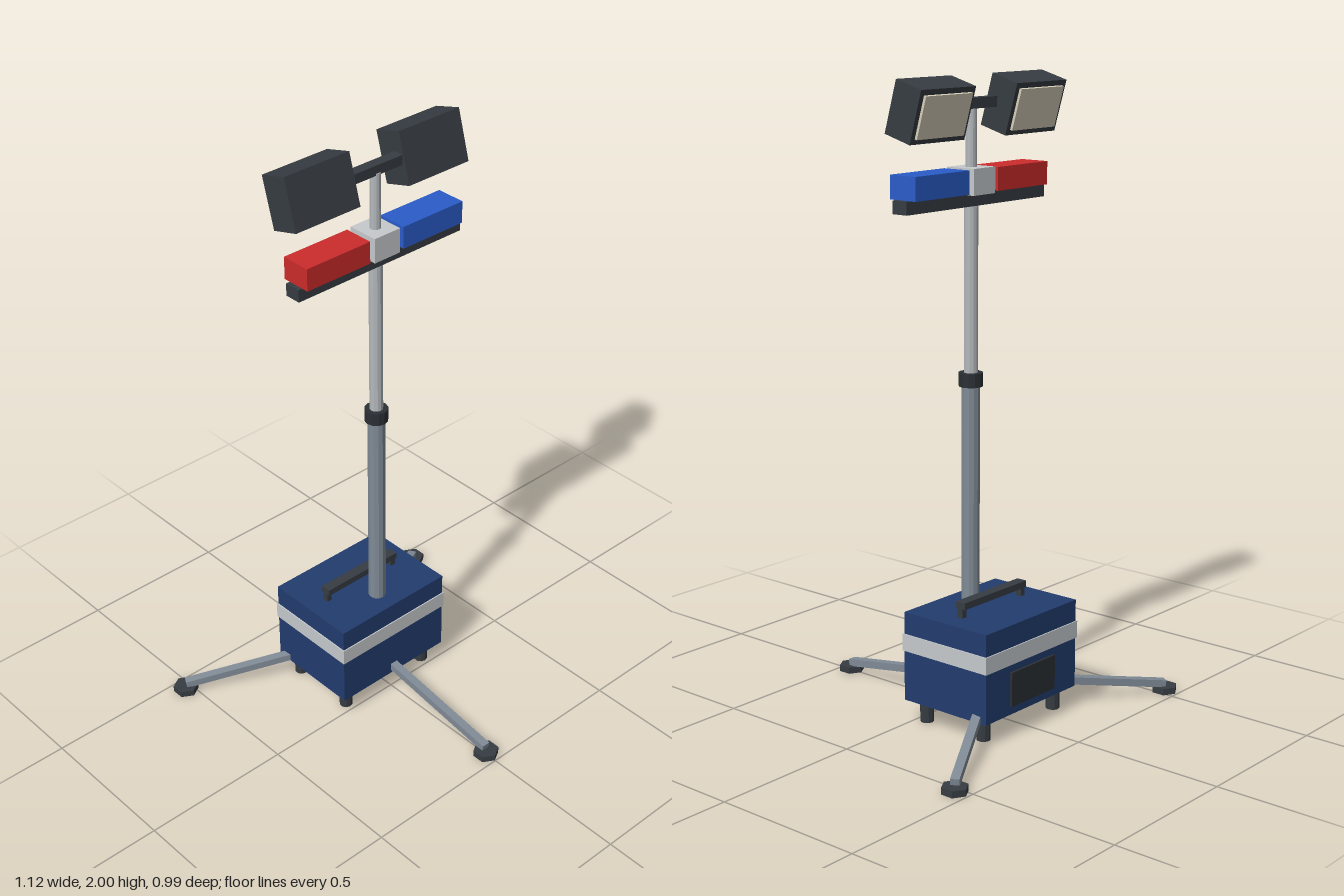
import * as THREE from 'three';

export function createModel() {
  const model = new THREE.Group();
  model.name = 'mobileLightTower';

  const mat = (name, color, flatShading = true) => {
    const m = new THREE.MeshStandardMaterial({ color, flatShading });
    m.name = name;
    return m;
  };
  const navy = mat('navy', 0x223c6e);
  const silver = mat('silver', 0xc6cacd);
  const steel = mat('steel', 0x808b96);
  const paleSteel = mat('pale steel', 0xb4b8bb);
  const charcoal = mat('charcoal', 0x363c42);
  const black = mat('black', 0x2b3035);
  const red = mat('red', 0xcc2b2b);
  const blue = mat('blue', 0x2a5cc8);
  const lens = mat('cream lens', 0xd8cfba);

  const add = (name, geometry, material, x, y, z, parent = model) => {
    const mesh = new THREE.Mesh(geometry, material);
    mesh.name = name;
    mesh.position.set(x, y, z);
    parent.add(mesh);
    return mesh;
  };
  const box = (name, w, h, d, material, x, y, z, parent) =>
    add(name, new THREE.BoxGeometry(w, h, d), material, x, y, z, parent);
  // Upright cylinder given by its bottom and top heights
  const post = (name, r, y0, y1, sides, material, x, z, parent) =>
    add(name, new THREE.CylinderGeometry(r, r, y1 - y0, sides), material, x, (y0 + y1) / 2, z, parent);

  const bodyZ = -0.15;
  const mastZ = -0.066;

  // Power unit
  box('body', 0.442, 0.288, 0.33, navy, 0, 0.216, bodyZ);
  box('bodyStripe', 0.45, 0.055, 0.338, silver, 0, 0.262, bodyZ);
  box('rearPanel', 0.212, 0.11, 0.009, black, 0, 0.155, -0.319);
  for (const x of [-0.172, 0.172]) {
    for (const z of [-0.035, -0.265]) post('bodyFoot', 0.022, 0, 0.075, 10, charcoal, x, z);
  }

  // Carrying handle
  box('handleBar', 0.3, 0.022, 0.035, charcoal, 0, 0.399, -0.153);
  for (const x of [-0.142, 0.142]) box('handlePost', 0.018, 0.035, 0.02, charcoal, x, 0.374, -0.153);

  // Three outrigger legs with hexagonal pads
  for (let i = 0; i < 3; i++) {
    const outrigger = new THREE.Group();
    outrigger.name = 'outrigger';
    outrigger.position.z = bodyZ;
    outrigger.rotation.y = (i * Math.PI * 2) / 3;
    const start = new THREE.Vector3(0, 0.102, 0.14);
    const end = new THREE.Vector3(0, 0.029, 0.605);
    const leg = box('leg', 0.028, 0.024, start.distanceTo(end), steel, 0, 0, 0, outrigger);
    leg.position.lerpVectors(start, end, 0.5);
    leg.rotation.x = Math.atan2(start.y - end.y, end.z - start.z);
    post('footPad', 0.042, 0, 0.021, 6, charcoal, 0, 0.606, outrigger);
    model.add(outrigger);
  }

  // Telescopic mast
  post('lowerMast', 0.029, 0.35, 1.06, 12, steel, 0, mastZ);
  post('mastCollar', 0.038, 1.052, 1.095, 12, black, 0, mastZ);
  post('middleMast', 0.022, 1.09, 1.63, 12, paleSteel, 0, mastZ);
  post('upperMast', 0.017, 1.63, 1.905, 12, paleSteel, 0, mastZ);

  // Beacon bar
  box('beaconBase', 0.64, 0.04, 0.055, charcoal, 0, 1.63, mastZ);
  box('beaconCentre', 0.1, 0.08, 0.105, silver, 0, 1.685, mastZ);
  box('redBeacon', 0.24, 0.072, 0.1, red, -0.186, 1.686, mastZ);
  box('blueBeacon', 0.24, 0.072, 0.1, blue, 0.186, 1.686, mastZ);

  // Floodlights on a crossbar, aimed back and slightly down
  box('lampCrossbar', 0.24, 0.032, 0.035, charcoal, 0, 1.915, -0.07);
  for (const side of [-1, 1]) {
    const lamp = new THREE.Group();
    lamp.name = side > 0 ? 'leftFloodlight' : 'rightFloodlight';
    lamp.position.set(side * 0.215, 1.907, -0.094);
    lamp.rotation.x = -0.28;
    box('lampHousing', 0.24, 0.164, 0.1, charcoal, 0, 0, 0, lamp);
    box('lampLens', 0.206, 0.13, 0.009, lens, 0, 0, -0.054, lamp);
    model.add(lamp);
  }

  return model;
}
